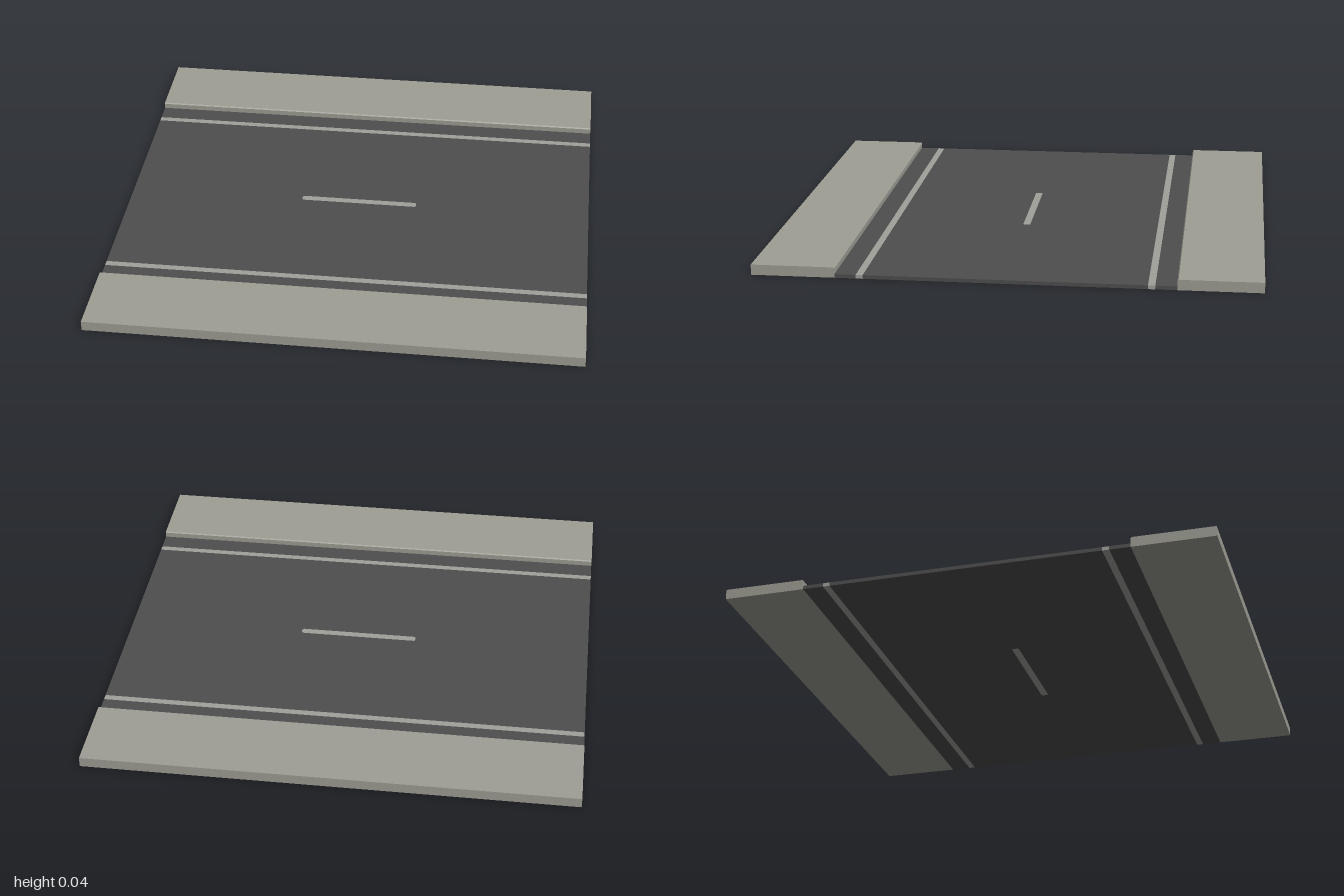
import * as THREE from 'three';

export function createModel() {
  const model = new THREE.Group();
  model.name = 'roadTile';

  const material = (name, color) => {
    const m = new THREE.MeshStandardMaterial({ color });
    m.name = name;
    return m;
  };
  const asphalt = material('asphalt', 0x4e4e4e);
  const concrete = material('concrete', 0x9e9e95);
  const paint = material('linePaint', 0xa0a09b);

  const ROAD_H = 0.015, KERB_H = 0.042;
  const LINE_IN = 0.555, LINE_OUT = 0.583, KERB_Z = 0.667;

  const add = (name, geometry, mat) => {
    const mesh = new THREE.Mesh(geometry, mat);
    mesh.name = name;
    model.add(mesh);
    return mesh;
  };

  // Full-width strip between two z positions
  const strip = (name, z0, z1, mat) =>
    add(name, new THREE.BoxGeometry(2, ROAD_H, z1 - z0), mat)
      .position.set(0, ROAD_H / 2, (z0 + z1) / 2);

  // Plan outline raised to road height
  const slab = (shape) =>
    new THREE.ExtrudeGeometry(shape, { depth: ROAD_H, bevelEnabled: false }).rotateX(-Math.PI / 2);

  const points = (list) => list.map(([x, y]) => new THREE.Vector2(x, y));

  // Centre dash with clipped corners, inlaid in the carriageway
  const w = 0.25, d = 0.015, c = 0.006;
  const dash = points([
    [-w + c, -d], [w - c, -d], [w, -d + c], [w, d - c],
    [w - c, d], [-w + c, d], [-w, d - c], [-w, -d + c],
  ]);
  const carriageway = new THREE.Shape(points([
    [-1, -LINE_IN], [1, -LINE_IN], [1, LINE_IN], [-1, LINE_IN],
  ]));
  carriageway.holes.push(new THREE.Path(dash));
  add('carriageway', slab(carriageway), asphalt);
  add('centreDash', slab(new THREE.Shape(dash)), paint);

  // Pavement cross-section with a slightly worn kerb edge
  const pavement = new THREE.ExtrudeGeometry(new THREE.Shape(points([
    [-1, 0], [-KERB_Z, 0], [-KERB_Z, KERB_H - 0.005], [-KERB_Z - 0.004, KERB_H], [-1, KERB_H],
  ])), { depth: 2, bevelEnabled: false }).translate(0, 0, -1).rotateY(Math.PI / 2);

  // Edge line, gutter and pavement on both sides
  for (const [side, s] of [['front', 1], ['back', -1]]) {
    const span = (a, b) => (s > 0 ? [a, b] : [-b, -a]);
    strip(side + 'EdgeLine', ...span(LINE_IN, LINE_OUT), paint);
    strip(side + 'Gutter', ...span(LINE_OUT, KERB_Z), asphalt);
    add(side + 'Pavement', pavement, concrete).rotation.y = s > 0 ? 0 : Math.PI;
  }

  return model;
}
